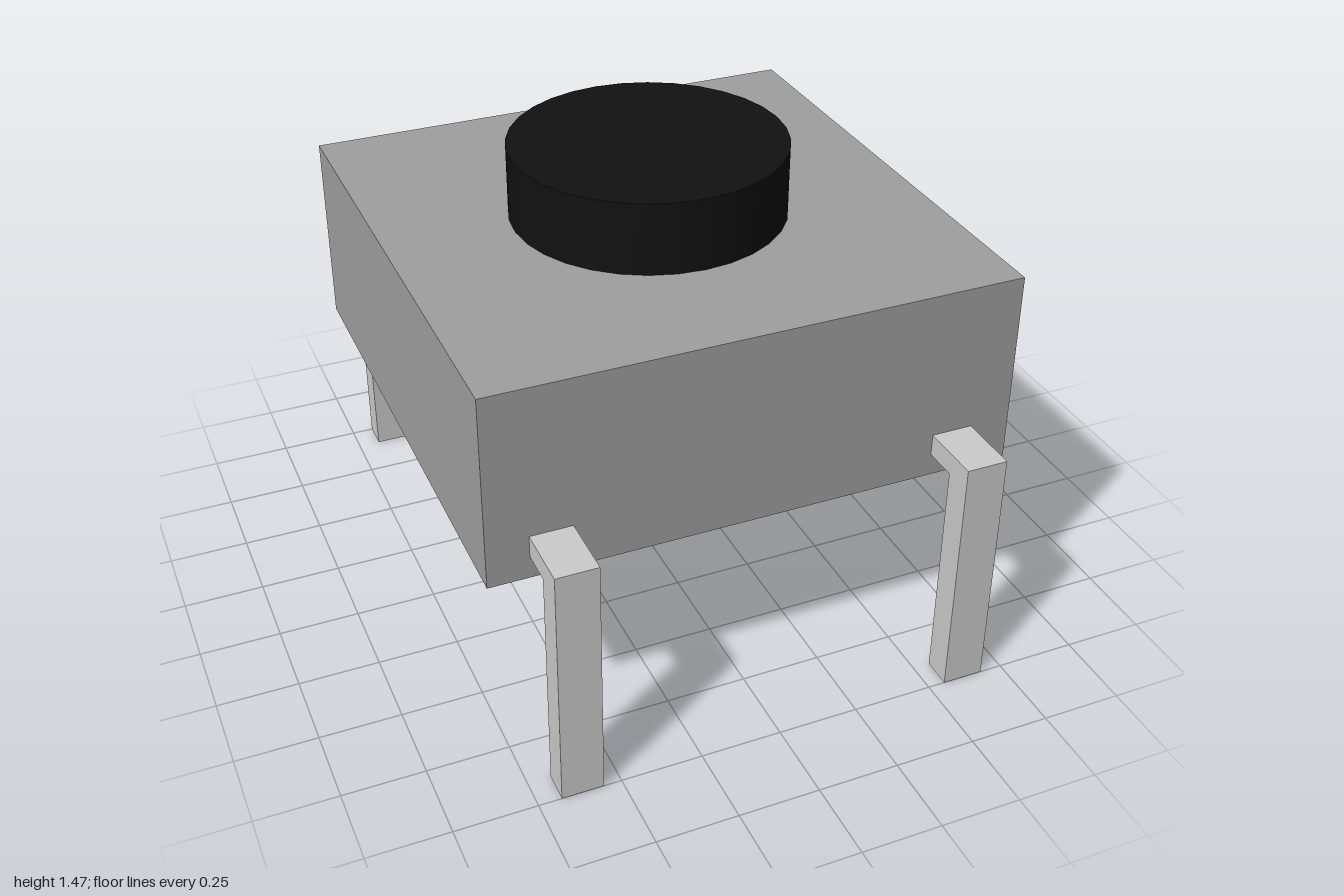
import * as THREE from 'three';

const mat = (color) => new THREE.MeshStandardMaterial({ color });

export function createModel() {
  const model = new THREE.Group();
  model.name = 'pushButtonSwitch';
  const add = (name, geometry, material, y = 0) => {
    const mesh = new THREE.Mesh(geometry, material);
    mesh.name = name;
    mesh.position.y = y;
    model.add(mesh);
    return mesh;
  };

  // Square housing
  const bottom = 0.645, top = 1.25, width = 1.61;
  add('housing', new THREE.BoxGeometry(width, top - bottom, width), mat(0xa0a0a0), (top + bottom) / 2);

  // Round plunger on top
  const plungerTop = 1.473;
  add('plunger', new THREE.CylinderGeometry(0.42, 0.42, plungerTop - top, 32), mat(0x111111), (plungerTop + top) / 2);

  // Bent pin: L-shaped side profile (z, y), extruded across x
  const profile = new THREE.Shape([
    [0.8, 0.715], [0.908, 0.715], [0.908, 0], [1, 0], [1, 0.783], [0.8, 0.783],
  ].map(([z, y]) => new THREE.Vector2(z, y)));
  const pinWidth = 0.127;
  const pinGeometry = new THREE.ExtrudeGeometry(profile, { depth: pinWidth, bevelEnabled: false });
  pinGeometry.translate(0, 0, -pinWidth / 2).rotateY(-Math.PI / 2);

  // Two pins at the front, two turned around at the back
  const pinMaterial = mat(0xcccccc);
  for (const end of ['front', 'back']) {
    for (const side of [1, -1]) {
      const pin = add(`${end}${side > 0 ? 'Left' : 'Right'}Pin`, pinGeometry, pinMaterial);
      pin.position.x = side * 0.617;
      if (end === 'back') pin.rotation.y = Math.PI;
    }
  }
  return model;
}
